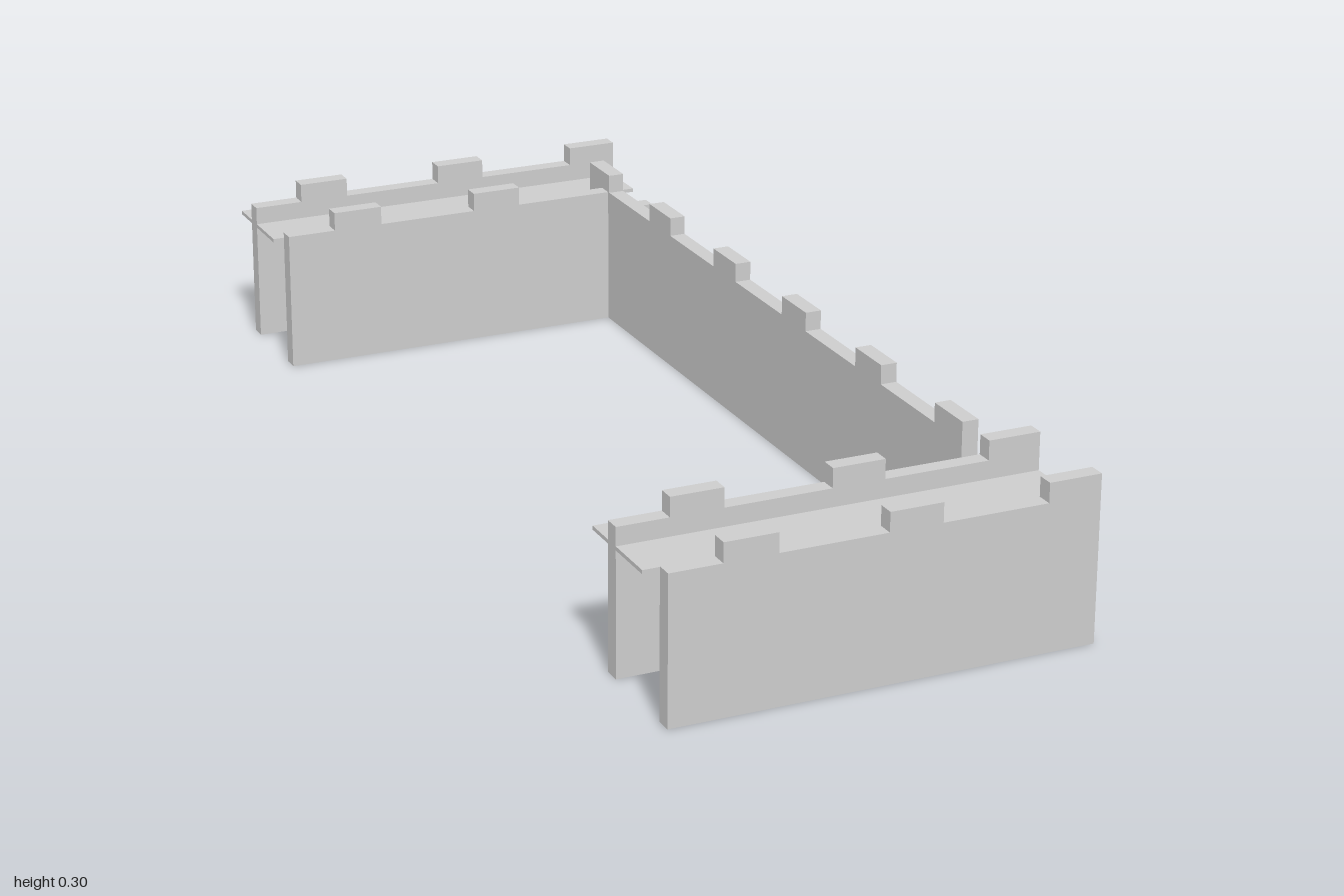
import * as THREE from 'three';

const T = 0.03;        // wall thickness
const DECK = 0.23;     // walkway level
const CREST = 0.263;   // parapet height
const TOP = 0.298;     // merlon height
const HALF = 0.38;     // half width of the end walls
const CROSS_MERLONS = [[-0.287, -0.192], [0, 0.095], [0.285, HALF]];

// Wall outline with square merlons, from (start, base) to (end, base)
function crenellated(start, end, base, merlons) {
  const s = new THREE.Shape();
  s.moveTo(start, base);
  s.lineTo(end, base);
  s.lineTo(end, CREST);
  for (const [a, b] of [...merlons].reverse()) {
    s.lineTo(b, CREST);
    s.lineTo(b, TOP);
    s.lineTo(a, TOP);
    s.lineTo(a, CREST);
  }
  s.lineTo(start, CREST);
  s.closePath();
  return new THREE.ExtrudeGeometry(s, { depth: T, bevelEnabled: false });
}

export function createModel() {
  const group = new THREE.Group();
  const stone = new THREE.MeshStandardMaterial({ color: 0xcccccc });
  stone.name = 'pale grey stone';

  function add(name, geometry) {
    const mesh = new THREE.Mesh(geometry, stone);
    mesh.name = name;
    group.add(mesh);
    return mesh;
  }
  function box(name, x0, x1, y0, y1, z0, z1) {
    add(name, new THREE.BoxGeometry(x1 - x0, y1 - y0, z1 - z0))
      .position.set((x0 + x1) / 2, (y0 + y1) / 2, (z0 + z1) / 2);
  }
  function crossWall(name, z, end, base, merlons) {
    add(name, crenellated(-HALF, end, base, merlons)).position.z = z;
  }

  // Walls across the two ends
  crossWall('frontOuterWall', 0.97, HALF, 0, CROSS_MERLONS);
  crossWall('frontInnerParapet', 0.775, HALF, DECK, CROSS_MERLONS);
  box('frontInnerWall', -HALF, 0.286, 0, 0.224, 0.775, 0.805);
  crossWall('backOuterWall', -0.94, HALF, 0, CROSS_MERLONS);
  crossWall('backInnerWall', -0.75, 0.286, 0, CROSS_MERLONS.slice(0, 2));
  box('backInnerWallEnd', 0.314, HALF, 0, 0.225, -0.75, -0.72);

  // Long side wall, with six evenly spaced merlons
  const merlons = [];
  for (let i = 0; i < 6; i++) {
    const a = -0.715 + i * 0.286;
    merlons.push([a, a + 0.095]);
  }
  const side = add('sideWall', crenellated(-0.715, 0.81, 0, merlons));
  side.rotation.y = Math.PI / 2;
  side.position.x = 0.285;
  box('sideWallFrontEnd', 0.285, 0.315, 0, 0.224, 0.715, 0.905);
  box('sideWallBackEnd', 0.285, 0.315, 0, 0.224, -0.912, -0.81);

  // Short stub of the opposite side wall
  box('oppositeWallStub', -0.315, -0.285, 0, 0.224, -1, -0.81);

  // Thin walkways
  box('frontWalkway', -HALF, HALF, 0.223, DECK, 0.715, 0.905);
  box('backWalkway', -HALF, HALF, 0.223, DECK, -1, -0.812);

  return group;
}
